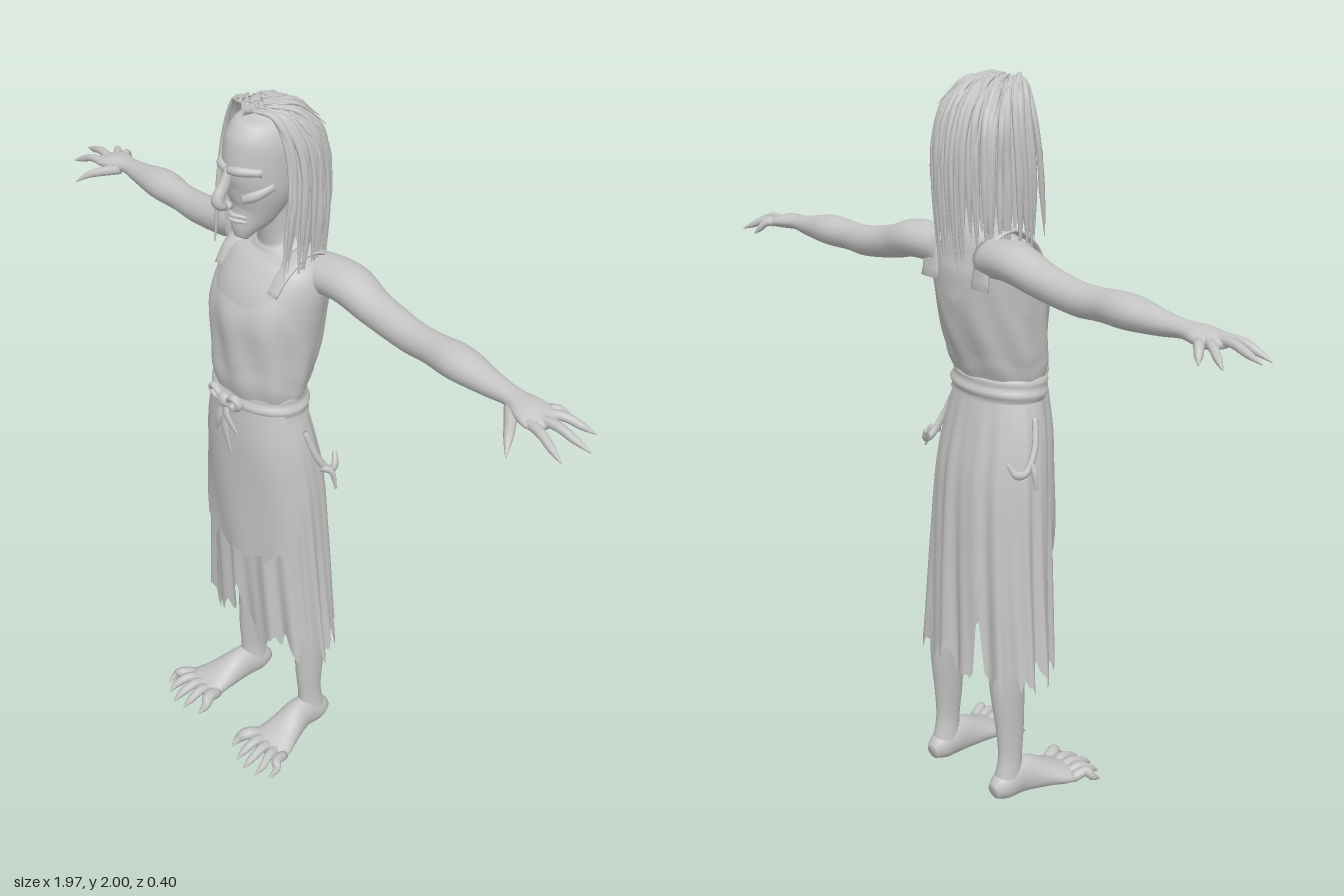
import * as THREE from 'three';

const V = (x, y, z) => new THREE.Vector3(x, y, z);
const grey = new THREE.MeshStandardMaterial({ color: 0xc4c4c4, side: THREE.DoubleSide });
grey.name = 'plain grey';

let seed = 7;
const rand = () => (seed = (seed * 16807) % 2147483647) / 2147483647;

// Smoothly interpolate rows [key, ...values], sorted by key
function sample(rows, k) {
  let i = 0;
  while (i < rows.length - 2 && k > rows[i + 1][0]) i++;
  const a = rows[i], b = rows[i + 1], p = rows[i - 1] || a, n = rows[i + 2] || b;
  const h = b[0] - a[0], s = THREE.MathUtils.clamp((k - a[0]) / h, 0, 1), r = 1 - s;
  return a.slice(1).map((v, q) => {
    const j = q + 1;
    const m0 = (b[j] - p[j]) / (b[0] - p[0]) * h, m1 = (n[j] - a[j]) / (n[0] - a[0]) * h;
    return v * (1 + 2 * s) * r * r + m0 * s * r * r + b[j] * s * s * (3 - 2 * s) - m1 * s * s * r;
  });
}

// Surface from a rule fn(u, v) with u and v from 0 to 1
function grid(name, fn, nu, nv, closed) {
  const pos = [], idx = [], w = closed ? nu : nu + 1;
  for (let i = 0; i <= nv; i++) for (let j = 0; j < w; j++) pos.push(...fn(j / nu, i / nv).toArray());
  for (let i = 0; i < nv; i++) for (let j = 0; j < nu; j++) {
    const a = i * w + j, b = i * w + (j + 1) % w;
    idx.push(a, b, a + w, b, b + w, a + w);
  }
  const g = new THREE.BufferGeometry();
  g.setAttribute('position', new THREE.Float32BufferAttribute(pos, 3));
  g.setIndex(idx);
  g.computeVertexNormals();
  const m = new THREE.Mesh(g, grey);
  m.name = name;
  return m;
}

// Rounded limb through stations [x, y, z, width radius, depth radius]
function limb(name, st, nu = 16, per = 5, ref = null) {
  const rows = st.map((s, i) => [i, ...s]), last = st.length - 1, nv = last * per + 2;
  const at = k => V(...sample(rows, k));
  const dir = at(last).sub(at(0)).normalize();
  const r = ref || (Math.abs(dir.y) > 0.75 ? V(0, 0, 1) : V(0, 1, 0));
  return grid(name, (u, v) => {
    const row = Math.round(v * nv), k = THREE.MathUtils.clamp((row - 1) / (nv - 2), 0, 1) * last;
    const [x, y, z, a, b] = sample(rows, k), c = V(x, y, z);
    if (row === 0 || row === nv) return c;
    const t = at(Math.min(k + 0.05, last)).sub(at(Math.max(k - 0.05, 0))).normalize();
    const s = r.clone().cross(t).normalize(), d = t.clone().cross(s), q = u * 2 * Math.PI;
    return c.addScaledVector(s, a * Math.cos(q)).addScaledVector(d, b * Math.sin(q));
  }, nu, nv, true);
}
const flip = st => st.map(([x, ...rest]) => [-x, ...rest]);

// Body outlines by height: [y, centre z, half width, half depth]
const torso = [[1.05, -0.01, 0.14, 0.09], [1.2, 0, 0.125, 0.085], [1.28, -0.008, 0.143, 0.108],
  [1.36, -0.02, 0.15, 0.122], [1.46, -0.03, 0.158, 0.13], [1.54, -0.052, 0.158, 0.11],
  [1.59, -0.065, 0.135, 0.08], [1.625, -0.062, 0.07, 0.06], [1.66, -0.05, 0.047, 0.048], [1.76, -0.02, 0.045, 0.048]];
const skirt = [[0.3, -0.052, 0.238, 0.125], [0.38, -0.05, 0.234, 0.124], [0.5, -0.045, 0.222, 0.125],
  [0.7, -0.038, 0.205, 0.127], [0.95, -0.026, 0.187, 0.124], [1.08, -0.012, 0.17, 0.112], [1.21, 0, 0.133, 0.094]];
const ring = (rows, y, q, out = 0) => {
  const [cz, rx, rz] = sample(rows, y);
  return V((rx + out) * Math.sin(q), y, cz + (rz + out) * Math.cos(q));
};
const folds = (q, y) => Math.max(0, 1.2 - y) * (0.011 * Math.sin(13 * q + 1) + 0.008 * Math.sin(21 * q + 3 * y));

export function createModel() {
  const model = new THREE.Group();
  const add = (...parts) => model.add(...parts);
  const pair = (name, st, ...rest) => add(limb('left ' + name, st, ...rest), limb('right ' + name, flip(st), ...rest));

  // Body, head and face
  add(limb('torso', torso.map(([y, z, a, b]) => [0, y, z, a, b]), 36));
  add(limb('head', [[0, 1.66, 0.058, 0.018, 0.018], [0, 1.69, 0.045, 0.036, 0.04], [0, 1.73, 0.018, 0.057, 0.07],
    [0, 1.78, 0, 0.076, 0.092], [0, 1.84, -0.012, 0.082, 0.112], [0, 1.9, -0.028, 0.084, 0.117],
    [0, 1.95, -0.035, 0.068, 0.095], [0, 1.977, -0.035, 0.03, 0.04]], 32));
  add(limb('nose', [[0, 1.85, 0.09, 0.01, 0.012], [0, 1.81, 0.108, 0.013, 0.016], [0, 1.78, 0.128, 0.016, 0.016],
    [0, 1.762, 0.118, 0.018, 0.013], [0, 1.755, 0.09, 0.012, 0.01]], 12, 4, V(0, 0.3, 1)));
  pair('brow', [[0.006, 1.85, 0.098, 0.01, 0.01], [0.035, 1.853, 0.088, 0.012, 0.012], [0.07, 1.85, 0.048, 0.01, 0.01]], 10);
  pair('cheek', [[0.03, 1.775, 0.075, 0.012, 0.012], [0.055, 1.79, 0.055, 0.014, 0.014], [0.074, 1.81, 0.015, 0.01, 0.012]], 10);
  for (const y of [1.728, 1.715])
    add(limb('lip', [[-0.03, y - 0.005, 0.064, 0.004, 0.004], [0, y, 0.085, 0.008, 0.006], [0.03, y - 0.005, 0.064, 0.004, 0.004]], 8));

  // Arms, hands and clawed fingers
  pair('arm', [[0.09, 1.555, -0.1, 0.06, 0.05], [0.2, 1.56, -0.115, 0.062, 0.05], [0.3, 1.535, -0.116, 0.05, 0.045],
    [0.42, 1.517, -0.118, 0.043, 0.042], [0.5, 1.518, -0.118, 0.04, 0.04], [0.59, 1.52, -0.12, 0.05, 0.042],
    [0.69, 1.515, -0.12, 0.035, 0.03], [0.76, 1.515, -0.12, 0.029, 0.021], [0.81, 1.512, -0.117, 0.046, 0.021],
    [0.85, 1.506, -0.115, 0.05, 0.016], [0.875, 1.503, -0.115, 0.03, 0.008]], 20);
  for (const [z, tx, ty, tz] of [[-0.157, 0.875, 1.475, -0.2], [-0.135, 0.94, 1.48, -0.198], [-0.11, 0.985, 1.488, -0.127], [-0.083, 0.96, 1.475, -0.063]]) {
    const mid = (f, lift) => [0.835 + (tx - 0.835) * f, 1.508 + (ty - 1.508) * f + lift, z + (tz - z) * f];
    pair('finger', [[...mid(0, 0), 0.013, 0.012], [...mid(0.4, 0.012), 0.012, 0.011], [...mid(0.72, 0.006), 0.01, 0.009], [...mid(1, 0), 0.002, 0.002]], 8, 4);
  }
  pair('thumb', [[0.775, 1.505, -0.1, 0.018, 0.016], [0.81, 1.495, -0.06, 0.014, 0.014], [0.835, 1.485, -0.03, 0.011, 0.01], [0.86, 1.462, 0, 0.002, 0.002]], 8, 4);

  // Legs, feet and clawed toes
  pair('leg', [[0.1, 0.85, -0.045, 0.075, 0.08], [0.12, 0.5, -0.07, 0.055, 0.06], [0.13, 0.38, -0.085, 0.045, 0.055],
    [0.137, 0.22, -0.08, 0.032, 0.044], [0.14, 0.13, -0.082, 0.028, 0.038], [0.14, 0.05, -0.09, 0.036, 0.045], [0.14, 0.02, -0.09, 0.03, 0.04]], 18);
  pair('foot', [[0.138, 0.035, -0.143, 0.02, 0.022], [0.14, 0.045, -0.11, 0.036, 0.043], [0.142, 0.058, -0.045, 0.04, 0.057],
    [0.152, 0.042, 0.025, 0.055, 0.041], [0.163, 0.028, 0.085, 0.07, 0.026], [0.167, 0.022, 0.115, 0.062, 0.018]], 20);
  [[0.085, 0.175], [0.135, 0.195], [0.175, 0.202], [0.217, 0.19], [0.252, 0.165]].forEach(([tx, tz], i) => {
    const bx = 0.11 + i * 0.028, r = i ? 0.015 : 0.019;
    pair('toe', [[bx, 0.028, 0.085, r, r], [(bx + tx) / 2, 0.042, 0.125, r, r * 0.95], [tx, 0.026, tz - 0.03, r * 0.75, r * 0.8], [tx, 0.008, tz, 0.002, 0.002]], 8, 4);
  });

  // Dress top with scooped neck, armholes and low back
  const neckline = [[0, 1.505], [0.35, 1.53], [0.65, 1.56], [1.1, 1.49], [1.57, 1.41], [2, 1.42], [2.5, 1.5], [Math.PI, 1.42]];
  add(grid('dress top', (u, v) => {
    const q = u * 2 * Math.PI, top = sample(neckline, Math.min(q, 2 * Math.PI - q))[0];
    const y = 1.19 + (top - 1.19) * v;
    const crease = 0.004 * Math.sin(9 * q + 14 * y) * Math.sin(Math.PI * v);
    return ring(torso, y, q, 0.008 + 0.006 * Math.sin(Math.PI * Math.min(1, v * 3)) + crease);
  }, 72, 18, true));
  pair('shoulder strap', [[0.098, 1.535, 0.045, 0.008, 0.026], [0.104, 1.585, 0.008, 0.008, 0.024], [0.102, 1.622, -0.06, 0.008, 0.026],
    [0.1, 1.585, -0.132, 0.008, 0.026], [0.1, 1.48, -0.152, 0.008, 0.035]], 10, 5, V(1, 0, 0));

  // Long skirt with a torn hem
  add(grid('skirt', (u, v) => {
    const q = u * 2 * Math.PI, f = Math.min(u, 1 - u);
    let hem = 0.4 + 0.025 * Math.sin(11 * q) + 0.025 * Math.sin(23 * q + 1) + 0.015 * Math.sin(41 * q);
    hem += 0.12 * Math.exp(-((f / 0.03) ** 2)) - 0.06 * Math.exp(-(((u - 0.27) / 0.012) ** 2));
    hem += 0.14 * Math.exp(-(((u - 0.57) / 0.008) ** 2)) + 0.08 * Math.exp(-(((u - 0.4) / 0.01) ** 2));
    const y = 1.21 + (hem - 1.21) * v;
    return ring(skirt, y, q, folds(q, y));
  }, 144, 24, true));

  // Apron wrapped over the front
  add(grid('apron', (u, v) => {
    const s = u * 2 - 1, wide = sample([[0, 1.25], [0.4, 1.42], [0.75, 1.25], [1, 0.95]], v)[0];
    const q = s * wide, hem = 0.71 + 0.05 * s ** 4 + 0.01 * Math.sin(17 * s) + 0.007 * Math.sin(37 * s);
    const y = 1.2 + (hem - 1.2) * v;
    return ring(skirt, y, q, 0.013 + 0.004 * Math.sin(8 * s + 9 * y) * v);
  }, 56, 20, false));

  // Belt, knot and hanging ties
  add(grid('belt', (u, v) => ring(skirt, 1.165 + 0.075 * v, u * 2 * Math.PI,
    0.004 + 0.011 * Math.sin(Math.PI * v) + 0.003 * Math.sin(v * 14 + 6 * u)), 64, 10, true));
  add(limb('knot', [[-0.022, 1.2, 0.108, 0.012, 0.014], [0, 1.205, 0.118, 0.016, 0.022], [0.022, 1.2, 0.108, 0.012, 0.014]], 12));
  pair('bow loop', [[0.01, 1.205, 0.115, 0.008, 0.01], [0.04, 1.23, 0.118, 0.009, 0.012], [0.058, 1.212, 0.112, 0.008, 0.012],
    [0.04, 1.193, 0.112, 0.008, 0.01], [0.01, 1.2, 0.113, 0.008, 0.01]], 8, 5, V(0, 0, 1));
  for (const [x, y] of [[-0.03, 1.1], [0.035, 1.05], [0.06, 1.13]])
    add(limb('belt tie', [[0, 1.2, 0.116, 0.01, 0.006], [x * 0.4, (1.2 + y) / 2, 0.126, 0.013, 0.006], [x, y, 0.122, 0.004, 0.003]], 8));
  pair('hip tie', [[0.165, 1.13, -0.02, 0.008, 0.008], [0.188, 1.06, -0.04, 0.01, 0.008], [0.198, 1.005, -0.075, 0.011, 0.009], [0.19, 1.0, -0.105, 0.012, 0.009], [0.172, 1.03, -0.12, 0.006, 0.006]], 8, 5, V(1, 0, 0));
  pair('tie end', [[0.192, 1.015, -0.055, 0.01, 0.009], [0.218, 1.01, -0.07, 0.011, 0.007], [0.232, 0.96, -0.075, 0.003, 0.003]], 8, 4, V(0, 0, 1));

  // Hair swept back from the forehead: q = 0 is straight back
  const fall = [[0, 0, 1.972], [0.15, 0.35, 1.985], [0.3, 0.7, 1.957], [0.48, 0.95, 1.88], [0.7, 1.02, 1.76], [0.86, 1, 1.66], [1, 0.97, 1.56]];
  const hairAt = (q, t, out = 0) => {
    const [k, y] = sample(fall, t), side = Math.max(0, Math.abs(q) - 1.1);
    return V((0.12 * k + out) * Math.sin(q), y + out * (1 - t),
      0.05 - 0.09 * Math.min(k, 1) - (0.13 * k + out) * Math.cos(q) + 0.06 * side * t * t);
  };
  add(grid('hair', (u, v) => {
    const q = (u * 2 - 1) * 1.72;
    return hairAt(q, v * (0.86 + 0.06 * Math.sin(31 * q) + 0.05 * Math.sin(53 * q)), 0.003 * Math.sin(38 * q));
  }, 90, 20, false));
  for (let i = 0; i < 58; i++) {
    const q = (i / 57 * 2 - 1) * 1.82 + (rand() - 0.5) * 0.08;
    const start = 0.05 + rand() * 0.25, end = 0.88 + rand() * 0.14, drift = (rand() - 0.5) * 0.16, w = 0.006 + rand() * 0.005;
    const st = [];
    for (let j = 0; j <= 5; j++) {
      const s = j / 5, thick = w * (j === 5 ? 0.15 : j === 0 ? 0.4 : 1);
      const p = hairAt(q + drift * s, start + (end - start) * s, 0.004 + 0.008 * rand());
      if (j === 5) p.y -= rand() * 0.04;
      st.push([...p.toArray(), thick * 0.7, thick]);
    }
    add(limb('hair lock', st, 7, 4, V(Math.cos(q), 0, Math.sin(q))));
  }
  // Loose wisps on the crown
  for (let i = 0; i < 8; i++) {
    const q = (i / 7 * 2 - 1) * 1.3, a = hairAt(q, 0.12), b = hairAt(q, 0.25, 0.012), c = hairAt(q, 0.42, 0.022);
    add(limb('wisp', [[...a.toArray(), 0.003, 0.004], [...b.toArray(), 0.003, 0.004], [...c.toArray(), 0.001, 0.001]], 6, 4, V(Math.cos(q), 0, Math.sin(q))));
  }
  return model;
}
